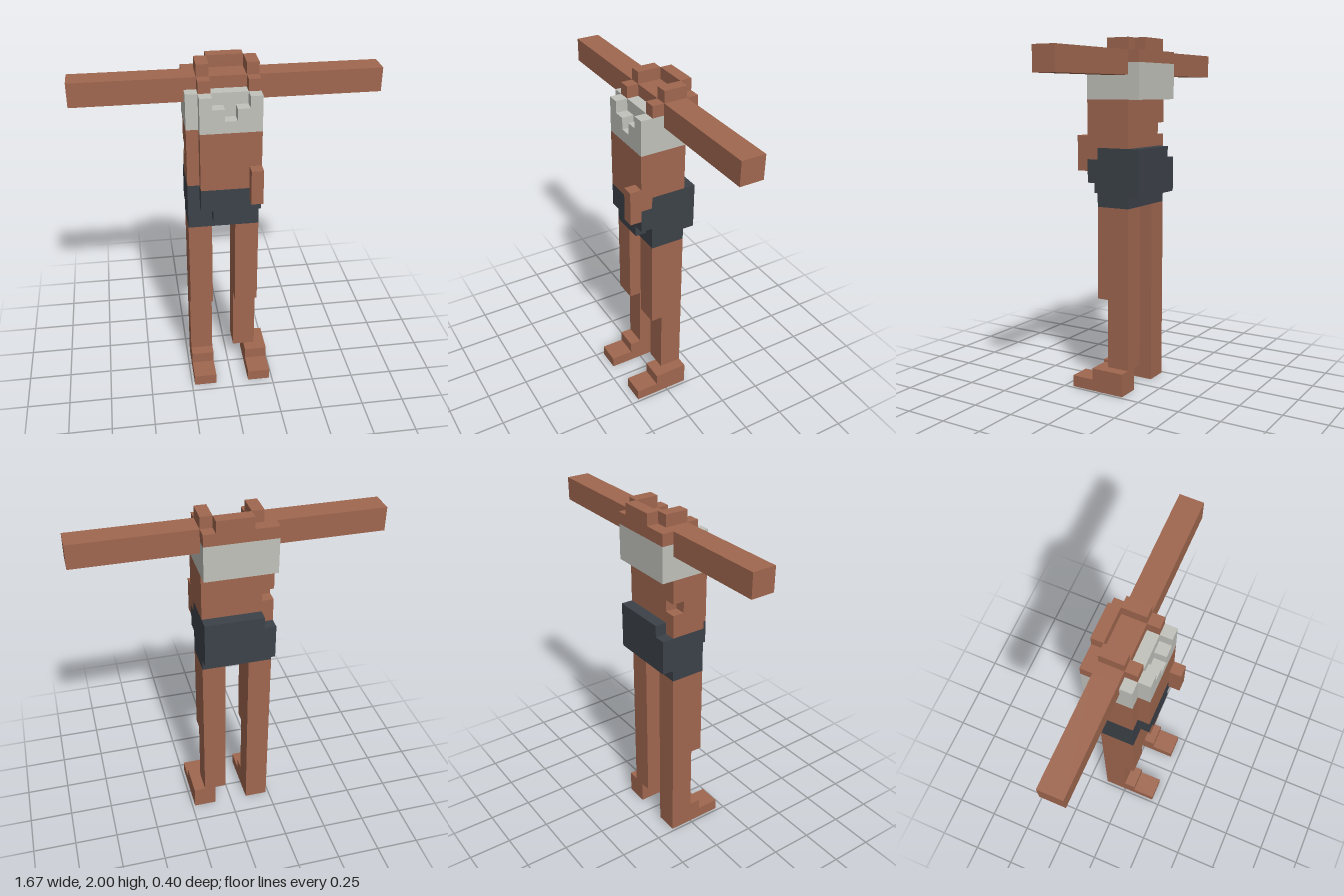
import * as THREE from 'three';

const U = 1 / 15; // size of one block

const paint = (name, color) => {
  const m = new THREE.MeshStandardMaterial({ color });
  m.name = name;
  return m;
};

export function createModel() {
  const skin = paint('skin brown', 0xa0674f);
  const cloth = paint('pale grey cloth', 0xc2c2bc);
  const dark = paint('dark slate cloth', 0x3c4249);
  const model = new THREE.Group();
  model.name = 'blockFigure';

  // A named part made of boxes, each [x0, x1, y0, y1, z0, z1] in blocks
  const part = (name, material, boxes) => {
    const group = new THREE.Group();
    group.name = name;
    boxes.forEach(([x0, x1, y0, y1, z0, z1], i) => {
      const geo = new THREE.BoxGeometry((x1 - x0) * U, (y1 - y0) * U, (z1 - z0) * U);
      const mesh = new THREE.Mesh(geo, material);
      mesh.name = `${name}Block${i + 1}`;
      mesh.position.set((x0 + x1) / 2 * U, (y0 + y1) / 2 * U, (z0 + z1) / 2 * U);
      group.add(mesh);
    });
    model.add(group);
  };

  // Legs and feet: the left foot is set one block further out
  for (const [side, leg, foot] of [['right', -3.5, -3.5], ['left', 0.5, 1.5]]) {
    part(`${side}Leg`, skin, [
      [leg, leg + 2, 8, 16, -2, 1],
      [leg, leg + 2, 2, 8, -2, 0],
    ]);
    part(`${side}Foot`, skin, [
      [foot, foot + 2, 1, 2, -2, 1],
      [foot, foot + 2, 0, 1, -2, 3],
    ]);
  }

  // Shorts: core, stepped front, raised back and left side
  part('shorts', dark, [
    [-3.5, 2.5, 16, 20, -2, 1],
    [-2.5, 2.5, 18, 20, 1, 2],
    [-1.5, 1.5, 17, 18, 1, 2],
    [-3.5, 2.5, 17, 20, -3, -2],
    [-2.5, 2.5, 20, 21, -3, -2],
    [1.5, 2.5, 20, 21, -2, 1],
  ]);

  // Bare waist, with a one-block nick in the right rear corner
  part('waist', skin, [
    [-2.5, 1.5, 20, 21, -2, 1],
    [-2.5, 2.5, 21, 25, -2, 1],
    [-2.5, 2.5, 20, 25, 1, 2],
    [-3.5, -2.5, 20, 25, -1, 1],
    [-3.5, -2.5, 20, 22, -2, -1],
    [-3.5, -2.5, 23, 25, -2, -1],
  ]);
  part('hipBlock', skin, [[1.5, 2.5, 19, 22, 2, 3]]);

  // Top with a stepped neckline
  part('top', cloth, [
    [-3.5, 2.5, 25, 28, -3, 1],
    [-2.5, 2.5, 25, 26, 1, 2],
    [-2.5, -0.5, 26, 27, 1, 2],
    [0.5, 2.5, 26, 27, 1, 2],
    [-2.5, -1.5, 27, 28, 1, 2],
    [1.5, 2.5, 27, 28, 1, 2],
  ]);

  // Shoulders, front straps and the raised collar
  part('shoulders', skin, [[-3.5, 2.5, 28, 29, -3, 0]]);
  part('collar', skin, [[-1.5, 1.5, 29, 30, -3, -2]]);
  for (const [side, x] of [['right', -2.5], ['left', 1.5]]) {
    part(`${side}Strap`, skin, [
      [x, x + 1, 28, 29, 0, 1],
      [x, x + 1, 29, 30, -2, 0],
    ]);
  }

  // Outstretched arms
  part('rightArm', skin, [[-12.5, -3.5, 27, 29, -2, 0]]);
  part('leftArm', skin, [[2.5, 12.5, 27, 29, -2, 0]]);

  return model;
}
